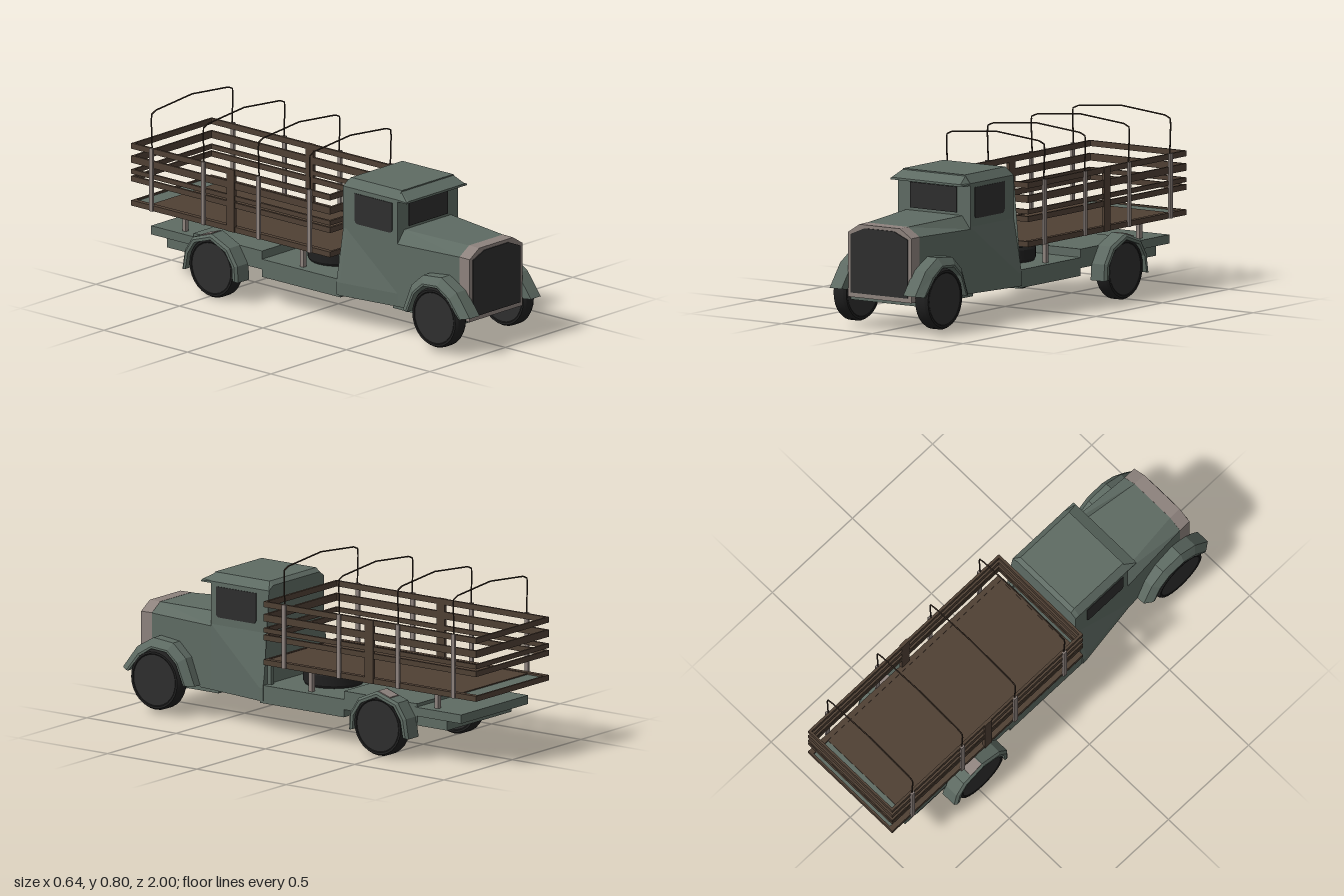
import * as THREE from 'three';
import { toCreasedNormals } from 'three/addons/utils/BufferGeometryUtils.js';

const paint = (name, color) => {
  const m = new THREE.MeshStandardMaterial({ color });
  m.name = name;
  return m;
};

export function createModel() {
  const truck = new THREE.Group();
  truck.name = 'stakeBedTruck';
  const green = paint('grey green paint', 0x5e6b63);
  const wood = paint('brown wood', 0x4f4034);
  const metal = paint('pale metal', 0x8d827d);
  const dark = paint('dark glass', 0x2e2e2e);
  const rubber = paint('black rubber', 0x202020);
  const hoopPaint = paint('dark brown hoop', 0x3a2e25);

  const add = (name, geo, mat) => {
    const m = new THREE.Mesh(geo, mat);
    m.name = name;
    truck.add(m);
    return m;
  };
  // Box given by its limits
  const box = (name, mat, x0, x1, y0, y1, z0, z1) => {
    const g = new THREE.BoxGeometry(Math.abs(x1 - x0), y1 - y0, Math.abs(z1 - z0));
    g.translate((x0 + x1) / 2, (y0 + y1) / 2, (z0 + z1) / 2);
    return add(name, g, mat);
  };
  // Flat-shaded solid through closed rings of [x, y, z]; turned outward by its volume
  const loft = (rings) => {
    const tris = [];
    const n = rings[0].length;
    for (let i = 0; i + 1 < rings.length; i++) {
      for (let j = 0; j < n; j++) {
        const k = (j + 1) % n;
        const a = rings[i][j], b = rings[i][k], c = rings[i + 1][k], d = rings[i + 1][j];
        tris.push([a, b, c], [a, c, d]);
      }
    }
    const last = rings[rings.length - 1];
    for (let j = 1; j + 1 < n; j++) {
      tris.push([rings[0][0], rings[0][j + 1], rings[0][j]], [last[0], last[j], last[j + 1]]);
    }
    let volume = 0;
    for (const [a, b, c] of tris) {
      volume += a[0] * (b[1] * c[2] - b[2] * c[1]) + a[1] * (b[2] * c[0] - b[0] * c[2]) + a[2] * (b[0] * c[1] - b[1] * c[0]);
    }
    const flat = tris.flatMap((t) => (volume < 0 ? [t[0], t[2], t[1]] : t)).flat();
    const g = new THREE.BufferGeometry();
    g.setAttribute('position', new THREE.Float32BufferAttribute(flat, 3));
    g.computeVertexNormals();
    return g;
  };
  // Symmetric ring from its +x half, listed bottom to top
  const ring = (z, half) => [
    ...half.map(([x, y]) => [x, y, z]),
    ...half.slice().reverse().map(([x, y]) => [-x, y, z]),
  ];

  // Cab, flaring at the lower rear
  const rearCab = [[0.245, 0.14], [0.245, 0.2], [0.2, 0.44], [0.2, 0.635], [0.17, 0.672]];
  const frontCab = [[0.2, 0.14], [0.2, 0.2], [0.2, 0.44], [0.2, 0.635], [0.17, 0.672]];
  const backCab = rearCab.map(([x, y]) => [x, y > 0.64 ? 0.655 : y]);
  add('cab', loft([ring(0.21, backCab), ring(0.23, rearCab), ring(0.535, frontCab)]), green);
  add('sunVisor', loft([
    ring(0.525, [[0.2, 0.626], [0.2, 0.635], [0.17, 0.672]]),
    ring(0.59, [[0.2, 0.626], [0.2, 0.632], [0.185, 0.636]]),
  ]), green);
  box('windshield', dark, -0.127, 0.127, 0.5, 0.615, 0.534, 0.541);

  // Hood, radiator shell and grille
  const noseHalf = [[0.175, 0.145], [0.175, 0.435], [0.112, 0.475]];
  add('hood', loft([
    ring(0.53, [[0.2, 0.14], [0.2, 0.43], [0.155, 0.488]]),
    ring(0.89, noseHalf),
  ]), green);
  add('radiatorShell', loft([ring(0.885, noseHalf.map(([x, y]) => [x + 0.001, y + 0.001])), ring(0.945, noseHalf)]), metal);
  const grilleHalf = [[0.157, 0.165], [0.157, 0.428], [0.08, 0.46]];
  add('grille', loft([ring(0.943, grilleHalf), ring(0.95, grilleHalf)]), dark);

  // Chassis
  box('frontBelly', green, -0.19, 0.19, 0.125, 0.15, 0.5, 0.9);
  box('middleChassis', green, -0.24, 0.24, 0.13, 0.212, -0.24, 0.53 - 0.3);
  box('rearChassis', green, -0.24, 0.24, 0.165, 0.25, -0.65, -0.24);
  box('rearPlatform', green, -0.245, 0.245, 0.195, 0.235, -0.9, -0.64);
  box('rearStep', green, -0.235, 0.235, 0.15, 0.196, -0.815, -0.6);

  // Lathe profile of a tyre, shared by all wheels
  const tyreProfile = [[0, -0.03], [0.113, -0.03], [0.12, -0.035], [0.129, -0.035], [0.137, -0.022],
    [0.137, 0.022], [0.129, 0.035], [0.12, 0.035], [0.113, 0.03], [0, 0.03]];
  const tyreGeo = toCreasedNormals(
    new THREE.LatheGeometry(tyreProfile.map(([r, y]) => new THREE.Vector2(r, y)), 28), 0.4);
  const hubGeo = new THREE.CylinderGeometry(0.116, 0.116, 0.066, 28);

  // Fender swept over a wheel: path of [z, y] pulled toward the wheel centre
  const fender = (name, side, path, cz, cy, x0, x1, x2, drop, thick) => {
    const profile = [[x0, 0], [x1, 0], [x2, drop], [x2, thick], [x0, thick]];
    add(name, loft(path.map(([z, y]) => {
      const l = Math.hypot(cz - z, cy - y);
      return profile.map(([x, d]) => [side * x, y + (cy - y) * d / l, z + (cz - z) * d / l]);
    })), green);
  };
  const frontPath = [[1.0, 0.185], [0.985, 0.205], [0.92, 0.29], [0.83, 0.342], [0.72, 0.332], [0.65, 0.272], [0.6, 0.15]];
  const rearPath = [[-0.322, 0.1], [-0.326, 0.175], [-0.375, 0.25], [-0.48, 0.296], [-0.595, 0.258], [-0.64, 0.19], [-0.655, 0.1]];

  for (const s of [1, -1]) {
    const tag = s > 0 ? 'left' : 'right';
    // Wheels and fenders
    for (const [end, x, y, z] of [['Front', 0.225, 0.155, 0.807], ['Rear', 0.275, 0.137, -0.482]]) {
      const wheel = new THREE.Group();
      wheel.name = tag + end + 'Wheel';
      const tyre = new THREE.Mesh(tyreGeo, rubber);
      tyre.name = 'tyre';
      const hub = new THREE.Mesh(hubGeo, dark);
      hub.name = 'hubDisc';
      wheel.add(tyre, hub);
      wheel.rotation.z = Math.PI / 2;
      wheel.position.set(s * x, y, z);
      truck.add(wheel);
    }
    fender(tag + 'FrontFender', s, frontPath, 0.807, 0.155, 0.17, 0.235, 0.26, 0.036, 0.046);
    fender(tag + 'RearFender', s, rearPath, -0.482, 0.137, 0.235, 0.308, 0.318, 0.012, 0.026);
    // Pale patch on top of the rear fender
    add(tag + 'FenderPatch', loft([[-0.485, 0.2945], [-0.55, 0.2735]].map(([z, y]) => [
      [s * 0.245, y, z], [s * 0.308, y, z], [s * 0.308, y + 0.004, z], [s * 0.245, y + 0.004, z],
    ])), metal);

    // Door window with rounded lower corners
    const w = new THREE.Shape();
    w.moveTo(0.28, 0.615);
    w.lineTo(0.28, 0.497);
    w.quadraticCurveTo(0.28, 0.475, 0.302, 0.475);
    w.lineTo(0.485, 0.475);
    w.quadraticCurveTo(0.505, 0.475, 0.505, 0.495);
    w.lineTo(0.505, 0.615);
    const pane = add(tag + 'DoorWindow', new THREE.ExtrudeGeometry(w, { depth: 0.006, bevelEnabled: false }), dark);
    pane.rotation.y = -Math.PI / 2;
    pane.position.x = s * 0.2 + 0.003;

    // Bed supports
    for (const z of [0.2, -0.03, -0.735]) {
      box(tag + 'BedSupport', z > 0.1 ? green : metal, s * 0.19, s * 0.21, 0.2, 0.315, z - 0.01, z + 0.01);
    }
  }

  // Spare wheel lying under the bed
  const spare = add('spareWheel', tyreGeo, rubber);
  spare.position.set(0, 0.247, 0);

  // Bed floor with a wooden rim and a green rear panel
  box('bedFloor', wood, -0.265, 0.265, 0.313, 0.335, -0.9, 0.19);
  box('rearFloorPanel', green, -0.24, 0.24, 0.316, 0.33, -0.99, -0.9);

  // Slats around the bed
  const slats = [[0.313, 0.338], [0.426, 0.451], [0.461, 0.482], [0.512, 0.545], [0.577, 0.603]];
  slats.forEach(([y0, y1], i) => {
    const t = i === 0 ? 0.025 : 0.012;
    for (const s of [1, -1]) box('sideSlat', wood, s * (0.266 - t), s * 0.266, y0, y1, -1, 0.19);
    box('frontSlat', wood, -0.26, 0.26, y0, y1, 0.178, 0.19);
    box('rearSlat', wood, -0.26, 0.26, y0, y1, -1, -0.99);
  });
  for (const s of [1, -1]) box('middleBoard', wood, s * 0.254, s * 0.27, 0.313, 0.603, -0.425, -0.38);

  // Posts with a canopy hoop above each pair
  const hoopHalf = [[0.265, 0.6], [0.27, 0.73], [0.268, 0.762], [0.24, 0.775]];
  const hoopPoints = [...hoopHalf.map(([x, y]) => [-x, y]), [0, 0.797], ...hoopHalf.slice().reverse()];
  for (const z of [0.072, -0.235, -0.565, -0.876]) {
    for (const s of [1, -1]) box('stakePost', metal, s * 0.264, s * 0.275, 0.313, 0.605, z - 0.01, z + 0.01);
    const path = new THREE.CurvePath();
    for (let i = 0; i + 1 < hoopPoints.length; i++) {
      path.add(new THREE.LineCurve3(new THREE.Vector3(...hoopPoints[i], z), new THREE.Vector3(...hoopPoints[i + 1], z)));
    }
    add('canopyHoop', new THREE.TubeGeometry(path, 80, 0.0035, 6), hoopPaint);
  }
  return truck;
}
